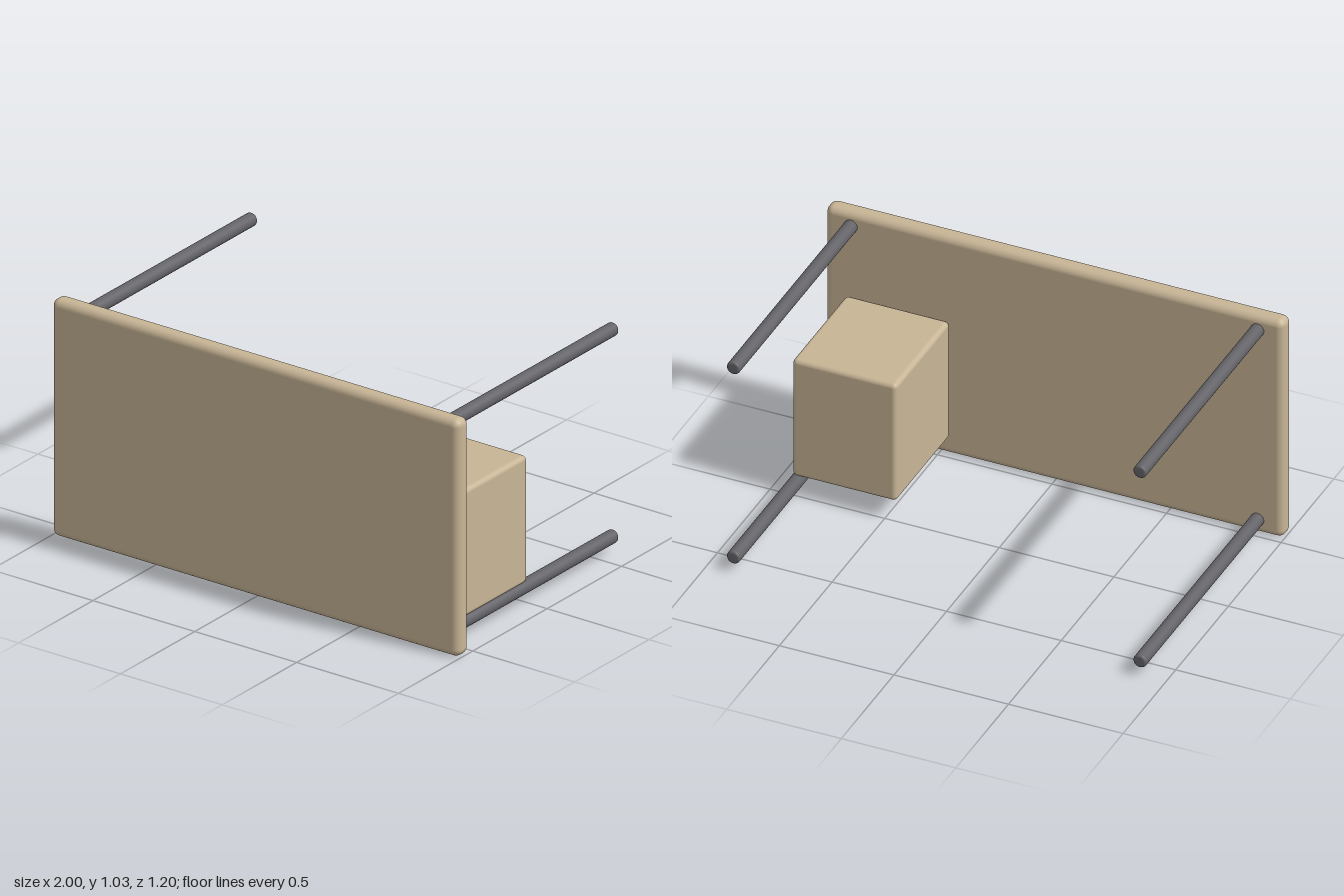
import * as THREE from 'three';
import { RoundedBoxGeometry } from 'three/addons/geometries/RoundedBoxGeometry.js';

const wood = new THREE.MeshStandardMaterial({ color: 0xc8b596 });
const metal = new THREE.MeshStandardMaterial({ color: 0x636368 });

// Rounded box given by its minimum and maximum corners
function roundedBlock(name, min, max, radius) {
  const size = max.map((v, i) => v - min[i]);
  const mesh = new THREE.Mesh(new RoundedBoxGeometry(...size, 4, radius), wood);
  mesh.position.set(...max.map((v, i) => (v + min[i]) / 2));
  mesh.name = name;
  return mesh;
}

// Round leg with a softened free end, running back from the table top
function legGeometry(length, r) {
  const bevel = 0.01;
  const points = [new THREE.Vector2(0, 0), new THREE.Vector2(r, 0)];
  for (let i = 0; i <= 4; i++) {
    const a = (i / 4) * Math.PI / 2;
    points.push(new THREE.Vector2(r - bevel + bevel * Math.cos(a), length - bevel + bevel * Math.sin(a)));
  }
  points.push(new THREE.Vector2(0, length));
  return new THREE.LatheGeometry(points, 32).rotateX(-Math.PI / 2);
}

export function createModel() {
  const desk = new THREE.Group();
  desk.name = 'deskOnItsSide';

  // Table top standing upright, with the drawer block behind it
  desk.add(roundedBlock('tableTop', [-1, 0, 0.52], [1, 1.033, 0.6], 0.032));
  desk.add(roundedBlock('drawerBlock', [0.45, 0.09, 0], [0.905, 0.645, 0.513], 0.02));

  // Four legs
  const geometry = legGeometry(1.13, 0.029);
  for (const x of [-0.887, 0.887]) {
    for (const y of [0.067, 0.97]) {
      const leg = new THREE.Mesh(geometry, metal);
      leg.name = (y > 0.5 ? 'upper' : 'lower') + (x > 0 ? 'Left' : 'Right') + 'Leg';
      leg.position.set(x, y, 0.53);
      desk.add(leg);
    }
  }
  return desk;
}
